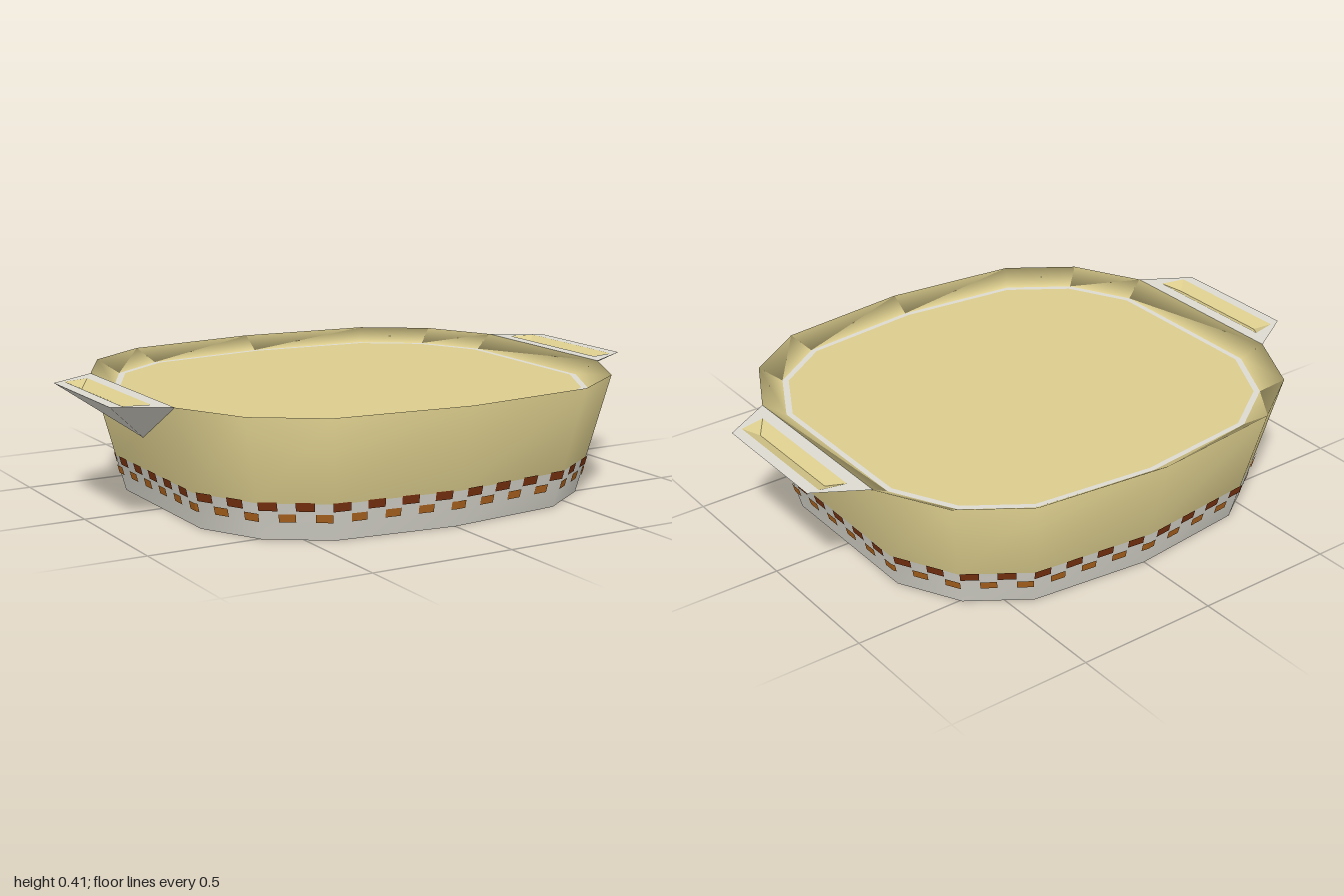
import * as THREE from 'three';

const H = 0.415;        // rim height
const FLOOR = 0.368;    // height of the inner surface
const BAND = 0.125;     // top of the pale base band

function material(name, color) {
  const m = new THREE.MeshStandardMaterial({ color, side: THREE.DoubleSide });
  m.name = name;
  return m;
}

// rim outline as [x, z], starting at the front and running towards +x
const quarter = [[0, 0.782], [0.48, 0.73], [0.70, 0.58], [0.825, 0.34]];
const rightHalf = [...quarter, ...quarter.slice().reverse().map(([x, z]) => [x, -z])];
const outline = [...rightHalf, ...rightHalf.slice(1, -1).reverse().map(([x, z]) => [-x, z])];
const N = outline.length;

const wallScale = y => 0.875 + 0.125 * y / H;

function meshFrom(name, positions, index, mat) {
  let g = new THREE.BufferGeometry();
  g.setAttribute('position', new THREE.Float32BufferAttribute(positions, 3));
  if (index) g.setIndex(index);
  g.computeVertexNormals();
  const mesh = new THREE.Mesh(g, mat);
  mesh.name = name;
  return mesh;
}

// smooth closed shell through scaled copies of the outline: rows of [scale, y]
function shell(name, rows, mat) {
  const pos = [], idx = [];
  for (const [k, y] of rows) for (const [x, z] of outline) pos.push(x * k, y, z * k);
  for (let r = 0; r < rows.length - 1; r++) {
    for (let i = 0; i < N; i++) {
      const a = r * N + i, b = r * N + (i + 1) % N;
      idx.push(a, b, b + N, a, b + N, a + N);
    }
  }
  return meshFrom(name, pos, idx, mat);
}

// flat faces from corner lists, counter-clockwise from outside
function faces(name, polygons, mat) {
  const pos = [];
  for (const p of polygons)
    for (let i = 1; i < p.length - 1; i++) pos.push(...p[0], ...p[i], ...p[i + 1]);
  return meshFrom(name, pos, null, mat);
}

// running length along the outline
const lengths = [0];
for (let i = 0; i < N; i++) {
  const [a, b] = [outline[i], outline[(i + 1) % N]];
  lengths.push(lengths[i] + Math.hypot(b[0] - a[0], b[1] - a[1]));
}
const total = lengths[N];

function pointAt(s) {
  s = ((s % total) + total) % total;
  let i = 0;
  while (i < N - 1 && lengths[i + 1] <= s) i++;
  const t = (s - lengths[i]) / (lengths[i + 1] - lengths[i]);
  const [a, b] = [outline[i], outline[(i + 1) % N]];
  return [a[0] + (b[0] - a[0]) * t, a[1] + (b[1] - a[1]) * t];
}

// a row of painted dashes, bent around the corners, on both wall faces
function dashes(name, count, shift, width, y0, y1, mat) {
  const polys = [];
  for (let n = 0; n < count; n++) {
    const mid = (n + shift) * total / count;
    const s0 = mid - width / 2, s1 = mid + width / 2;
    const stops = [s0, ...lengths.filter(l => l > s0 && l < s1), s1];
    for (let j = 0; j < stops.length - 1; j++) {
      const a = pointAt(stops[j]), b = pointAt(stops[j + 1]);
      for (const lift of [0.005, -0.005]) {
        const at = ([x, z], y) => {
          const k = wallScale(y) + lift;
          return [x * k, y, z * k];
        };
        polys.push([at(a, y0), at(b, y0), at(b, y1), at(a, y1)]);
      }
    }
  }
  return faces(name, polys, mat);
}

// lug handle on the +x side
function handle(white, cream) {
  const g = new THREE.Group();
  const P = [0.785, 0.25, 0];
  const inner = s => [0.825, H, 0.34 * s], outer = s => [1, H, 0.235 * s];
  const c = s => [0.87, H, 0.26 * s], d = s => [0.96, H, 0.24 * s];
  const low = s => [0.915, H - 0.022, 0.2 * s];
  g.add(faces('handleUnderside', [
    [P, outer(-1), outer(1)],
    [P, outer(1), inner(1)],
    [P, inner(-1), outer(-1)],
  ], white));
  g.add(faces('handleRim', [
    [inner(1), c(1), c(-1), inner(-1)],
    [d(1), outer(1), outer(-1), d(-1)],
    [inner(1), outer(1), d(1), c(1)],
    [inner(-1), c(-1), d(-1), outer(-1)],
  ], white));
  g.add(faces('handleGroove', [
    [c(1), low(1), low(-1), c(-1)],
    [low(1), d(1), d(-1), low(-1)],
    [c(1), d(1), low(1)],
    [c(-1), low(-1), d(-1)],
  ], cream));
  return g;
}

export function createModel() {
  const cream = material('cream yellow', 0xdccd8d);
  const white = material('off white', 0xdcdad0);
  const brown = material('dark brown', 0x7c3310);
  const orange = material('orange brown', 0xb0661f);

  const model = new THREE.Group();
  model.name = 'bakingDish';

  // walls, open underneath, with a lip sloping in from the rim
  model.add(shell('baseBand', [[wallScale(0), 0], [wallScale(BAND), BAND]], white));
  model.add(shell('wallAndLip', [
    [wallScale(BAND), BAND], [1, H], [0.912, FLOOR],
  ], cream));

  // inner surface and its pale border line
  model.add(shell('innerBorder', [[0.912, FLOOR], [0.888, FLOOR]], white));
  model.add(faces('innerSurface',
    [outline.map(([x, z]) => [x * 0.888, FLOOR, z * 0.888])], cream));

  // two staggered rows of painted dashes
  model.add(dashes('upperDashes', 42, 0.5, 0.066, 0.1, 0.13, brown));
  model.add(dashes('lowerDashes', 42, 0, 0.06, 0.062, 0.09, orange));

  // handles
  for (const [name, turn] of [['leftHandle', 0], ['rightHandle', Math.PI]]) {
    const h = handle(white, cream);
    h.name = name;
    h.rotation.y = turn;
    model.add(h);
  }
  return model;
}
